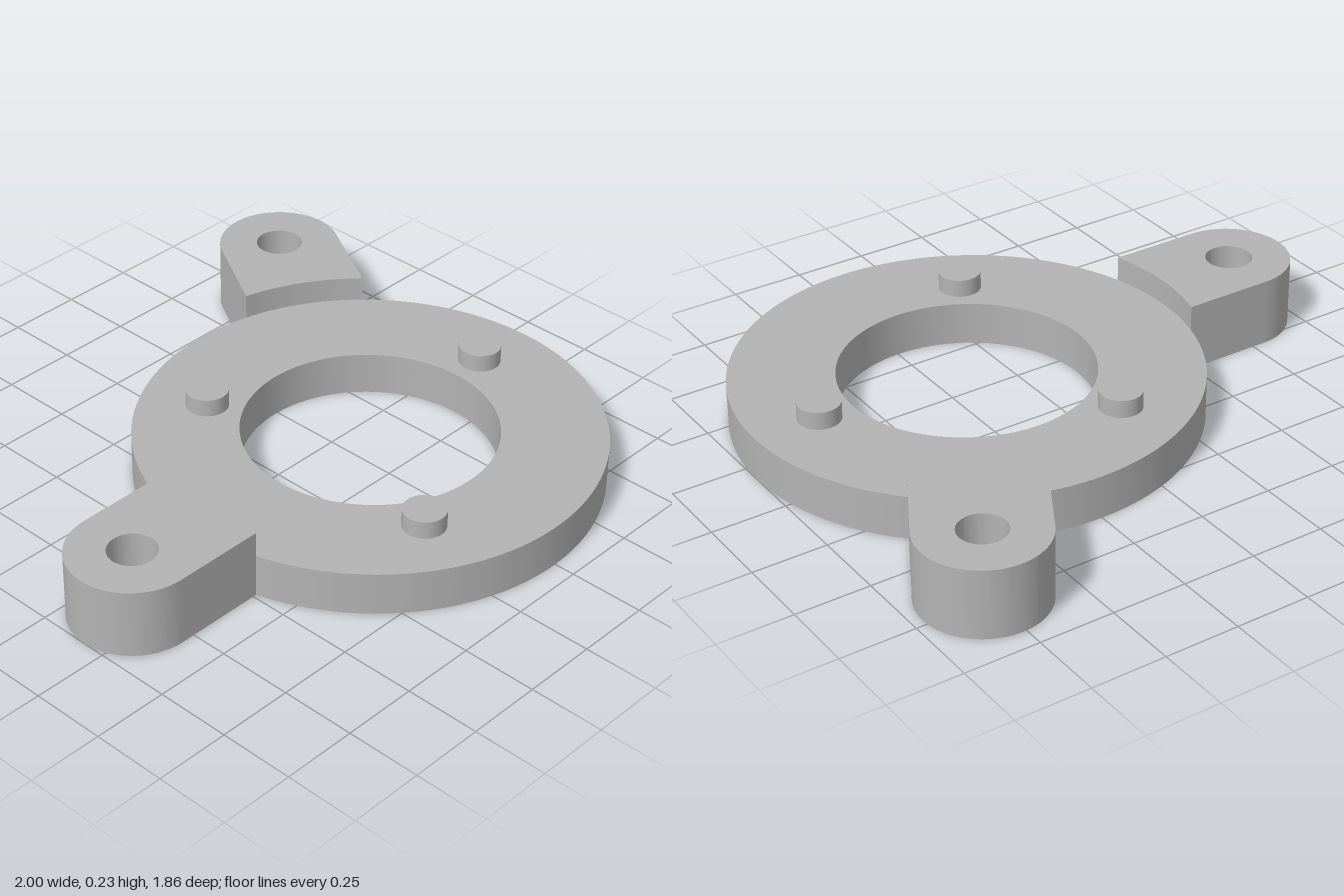
import * as THREE from 'three';
import { toCreasedNormals } from 'three/addons/utils/BufferGeometryUtils.js';

const RING_R = 0.758, BORE_R = 0.415, RING_H = 0.147;
const LUG_R = 0.205, LUG_DIST = 1.037, LUG_HOLE = 0.078, LUG_H = 0.232;
const PIN_R = 0.07, PIN_DIST = 0.535, PIN_TOP = 0.207;

const circle = (Kind, x, r) => new Kind().absarc(x, 0, r, 0, Math.PI * 2, false);

// Extrude a plan outline upward from y = 0
function plate(shape, height, segments) {
  const geometry = new THREE.ExtrudeGeometry(shape, { depth: height, bevelEnabled: false, curveSegments: segments });
  geometry.rotateX(-Math.PI / 2);
  return toCreasedNormals(geometry, Math.PI / 6);
}

export function createModel() {
  const model = new THREE.Group();
  model.name = 'mountingRing';
  model.position.set(0.242, 0, 0.1715);

  const metal = new THREE.MeshStandardMaterial({ color: 0xb3b3b3 });
  metal.name = 'grey metal';

  const add = (name, geometry, angle = 0) => {
    const mesh = new THREE.Mesh(geometry, metal);
    mesh.name = name;
    mesh.rotation.y = angle;
    model.add(mesh);
  };

  // Flat ring with a central bore
  const ring = circle(THREE.Shape, 0, RING_R);
  ring.holes.push(circle(THREE.Path, 0, BORE_R));
  add('ring', plate(ring, RING_H, 128));

  // Taller mounting lugs: round outer end, inner end cut to the ring's rim
  const a = Math.asin(LUG_R / RING_R);
  const lug = new THREE.Shape();
  lug.absarc(LUG_DIST, 0, LUG_R, -Math.PI / 2, Math.PI / 2, false);
  lug.absarc(0, 0, RING_R, a, -a, true);
  lug.closePath();
  lug.holes.push(circle(THREE.Path, LUG_DIST, LUG_HOLE));
  const lugGeometry = plate(lug, LUG_H, 40);
  add('leftLug', lugGeometry, Math.PI / 3);
  add('rightLug', lugGeometry, Math.PI);

  // Three locating pins evenly spaced on the ring
  const pinBase = RING_H - 0.02;
  const pin = new THREE.CylinderGeometry(PIN_R, PIN_R, PIN_TOP - pinBase, 40);
  pin.translate(PIN_DIST, (PIN_TOP + pinBase) / 2, 0);
  for (let i = 0; i < 3; i++) add(`pin${i + 1}`, pin, (i * Math.PI * 2) / 3);

  const root = new THREE.Group();
  root.name = 'ringBracket';
  root.add(model);
  return root;
}
